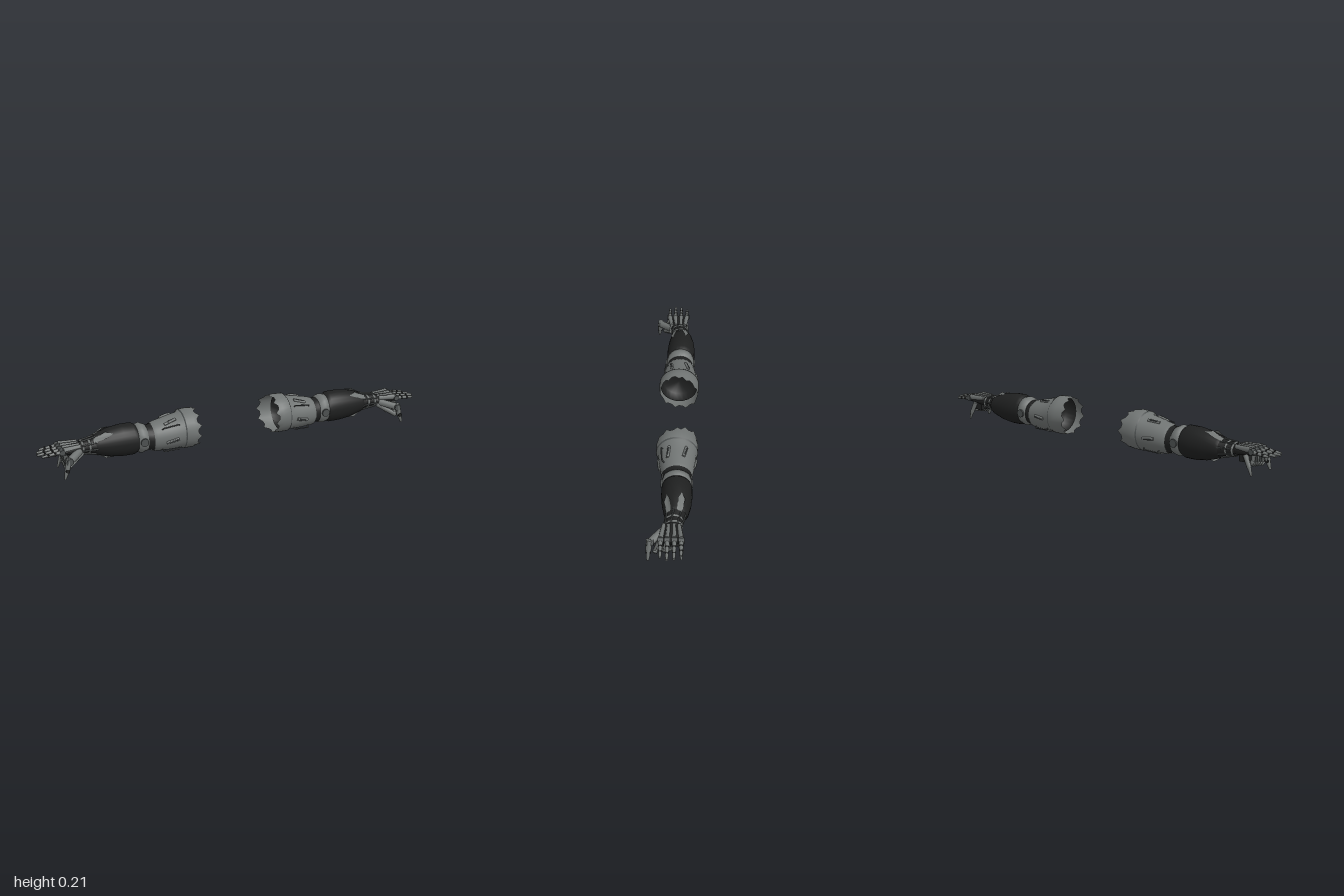
import * as THREE from 'three';

const grey = new THREE.MeshStandardMaterial({ color: 0x707473, side: THREE.DoubleSide });
grey.name = 'armour grey';
const mid = new THREE.MeshStandardMaterial({ color: 0x4c5050, side: THREE.DoubleSide });
mid.name = 'joint grey';
const dark = new THREE.MeshStandardMaterial({ color: 0x1f2020, side: THREE.DoubleSide });
dark.name = 'sleeve black';

// Skin over elliptical sections [x, cy, cz, ry, rz]; angle 0 is up, 90 degrees is front.
function loft(sections, n = 24, from = 0, to = 360, shiftX = () => 0) {
  const pos = [], idx = [], closed = to - from === 360;
  const cols = closed ? n : n + 1;
  sections.forEach(([x, cy, cz, ry, rz], i) => {
    for (let j = 0; j < cols; j++) {
      const a = THREE.MathUtils.degToRad(from + (to - from) * j / n);
      pos.push(x + shiftX(i, a, j), cy + ry * Math.cos(a), cz + rz * Math.sin(a));
    }
  });
  for (let i = 0; i < sections.length - 1; i++) {
    for (let j = 0; j < n; j++) {
      const k = (j + 1) % cols;
      const a = i * cols + j, c = i * cols + k, b = a + cols, d = c + cols;
      idx.push(a, c, b, c, d, b);
    }
  }
  const g = new THREE.BufferGeometry();
  g.setAttribute('position', new THREE.Float32BufferAttribute(pos, 3));
  g.setIndex(idx);
  g.computeVertexNormals();
  return g;
}

// Tapered bar between two points; flat squeezes it into a plate.
function bar(p, q, r0, r1, sides = 8, flat = 1) {
  const a = new THREE.Vector3(...p), b = new THREE.Vector3(...q);
  const dir = b.clone().sub(a);
  const g = new THREE.CylinderGeometry(r1, r0, dir.length(), sides);
  g.scale(1, 1, flat);
  g.applyQuaternion(new THREE.Quaternion().setFromUnitVectors(new THREE.Vector3(0, 1, 0), dir.normalize()));
  const m = a.add(b).multiplyScalar(0.5);
  return g.translate(m.x, m.y, m.z);
}

const armSections = [
  [0.215, 0.112, -0.013, 0.092, 0.094], [0.235, 0.112, -0.013, 0.097, 0.1],
  [0.275, 0.111, -0.013, 0.096, 0.099], [0.285, 0.107, -0.014, 0.087, 0.092],
  [0.35, 0.1, -0.015, 0.081, 0.085], [0.415, 0.094, -0.015, 0.073, 0.075],
  [0.43, 0.093, -0.015, 0.068, 0.07],
];
const foreSections = [
  [0.505, 0.099, -0.016, 0.066, 0.066], [0.525, 0.1, -0.017, 0.079, 0.071],
  [0.58, 0.1, -0.018, 0.079, 0.072], [0.64, 0.1, -0.018, 0.071, 0.067],
  [0.7, 0.1, -0.017, 0.053, 0.056], [0.715, 0.1, -0.016, 0.045, 0.05],
];

function buildArm() {
  const arm = new THREE.Group();
  const add = (name, geometry, material) => {
    const m = new THREE.Mesh(geometry, material);
    m.name = name;
    arm.add(m);
  };

  // Upper arm shell, with its torn rim reaching inward at the back
  const torn = (i, a, j) => i === 0
    ? -0.028 * Math.max(0, -Math.sin(a)) - (j % 3 === 0 ? 0.018 : 0) : 0;
  add('upperArmShell', loft(armSections, 32, 0, 360, torn), grey);
  add('upperArmLiner', loft([[0.25, 0.112, -0.013, 0.09, 0.093], [0.31, 0.105, -0.014, 0.08, 0.083],
    [0.312, 0.105, -0.014, 0.001, 0.001]], 24), dark);
  add('rimSeam', loft([[0.276, 0.111, -0.013, 0.0965, 0.0995], [0.281, 0.109, -0.013, 0.093, 0.097]], 32), mid);

  // Point on the upper arm surface at x, angle and lift
  const surface = (x, deg, lift) => {
    const t = (x - 0.285) / 0.13, a = THREE.MathUtils.degToRad(deg);
    const ry = 0.087 - 0.014 * t + lift, rz = 0.092 - 0.017 * t + lift;
    return [x, 0.107 - 0.013 * t + ry * Math.cos(a), -0.014 - 0.001 * t + rz * Math.sin(a)];
  };
  // Raised ribs and carrying rails
  for (const deg of [-95, -30, 25, 95, 180]) {
    add('shellRib', bar(surface(0.315, deg, 0), surface(0.375, deg + 8, 0), 0.008, 0.008, 10), grey);
    add('shellRibGroove', bar(surface(0.325, deg, 0.006), surface(0.365, deg + 6, 0.006), 0.004, 0.004, 8), mid);
  }
  for (const deg of [-135, 50, 135]) {
    const path = [[0.305, -0.002], [0.31, 0.011], [0.385, 0.014], [0.39, -0.002]]
      .map(([x, lift]) => surface(x, deg, lift));
    for (let i = 0; i < 3; i++) add('carryingRail', bar(path[i], path[i + 1], 0.003, 0.003, 6), mid);
  }

  // Elbow joint and cuff
  add('elbowSleeve', loft([[0.42, 0.093, -0.015, 0.068, 0.068], [0.44, 0.094, -0.015, 0.061, 0.064],
    [0.47, 0.096, -0.015, 0.062, 0.064]]), dark);
  add('elbowCuff', loft([[0.455, 0.096, -0.016, 0.05, 0.055], [0.46, 0.096, -0.016, 0.066, 0.068],
    [0.485, 0.098, -0.016, 0.075, 0.071], [0.508, 0.099, -0.016, 0.069, 0.067],
    [0.515, 0.099, -0.016, 0.05, 0.05]]), grey);
  for (const s of [-1, 1]) {
    add('elbowPivot', bar([0.483, 0.097, -0.016], [0.483, 0.097, -0.016 + s * 0.075], 0.02, 0.02, 16), mid);
  }

  // Forearm sleeve and tapering wrist plates
  add('forearmSleeve', loft(foreSections, 24), dark);
  for (const deg of [-20, 40, 165]) {
    const taper = loft([[0.63, 0.1, -0.018, 0.0745, 0.07], [0.7, 0.1, -0.017, 0.055, 0.058],
      [0.725, 0.1, -0.015, 0.046, 0.05]], 4, deg - 14, deg + 14,
    (i, a, j) => i === 0 ? 0.018 * Math.abs(j - 2) : 0);
    add('wristPlate', taper, grey);
  }
  add('wristCore', loft([[0.7, 0.1, -0.016, 0.046, 0.05], [0.745, 0.102, -0.011, 0.033, 0.038],
    [0.79, 0.103, -0.005, 0.03, 0.038]]), dark);
  for (let k = 0; k < 8; k++) {
    const a = k * Math.PI / 4 + 0.2, c = Math.cos(a), s = Math.sin(a);
    add('wristRod', bar([0.705, 0.1 + 0.045 * c, -0.016 + 0.049 * s],
      [0.785, 0.103 + 0.032 * c, -0.004 + 0.04 * s], 0.004, 0.004, 6), mid);
  }
  for (const [x, ry, rz] of [[0.745, 0.037, 0.042], [0.78, 0.035, 0.042]]) {
    add('wristRing', loft([[x - 0.006, 0.102, -0.008, ry - 0.004, rz - 0.004], [x - 0.003, 0.102, -0.008, ry, rz],
      [x + 0.003, 0.102, -0.008, ry, rz], [x + 0.006, 0.102, -0.008, ry - 0.004, rz - 0.004]]), grey);
  }

  // Palm and the plates on the back of the hand
  add('palm', loft([[0.785, 0.104, -0.002, 0.026, 0.038], [0.82, 0.104, 0.002, 0.025, 0.046],
    [0.885, 0.108, 0.001, 0.018, 0.05], [0.892, 0.108, 0.001, 0.001, 0.001]], 16), dark);
  const fingers = [[-0.044, 0.975], [-0.013, 0.995], [0.018, 1], [0.048, 0.985]];
  for (const [z, tip] of fingers) {
    add('handPlate', bar([0.795, 0.122, z * 0.75], [0.882, 0.121, z], 0.012, 0.015, 6, 0.8), grey);
    // Knuckle, three finger bones and their joints
    add('knuckle', bar([0.888, 0.115, z - 0.013], [0.888, 0.115, z + 0.013], 0.014, 0.014, 10), mid);
    const step = (tip - 0.89) / 3;
    for (let k = 0; k < 3; k++) {
      const x = 0.89 + step * k, r = 0.011 - 0.0015 * k, y = 0.114 - 0.003 * k;
      add('fingerBone', bar([x + 0.004, y, z], [x + step - (k < 2 ? 0.003 : 0), y - 0.003, z], r, r - 0.002, 8), grey);
      add('fingerJoint', bar([x, y, z - r * 0.9], [x, y, z + r * 0.9], 0.007, 0.007, 8), dark);
    }
  }

  // Fanned plates under the palm
  for (let k = 0; k < 5; k++) {
    const z = 0.075 - 0.021 * k;
    add('palmFanPlate', bar([0.785, 0.09, z * 0.5], [0.88, 0.032 + 0.004 * k, z], 0.012, 0.013, 6, 0.8), grey);
    add('palmFanStrut', bar([0.872, 0.04, z], [0.875, 0.1, z * 0.75], 0.009, 0.011, 6, 0.7), k % 2 ? mid : grey);
  }
  add('palmPad', new THREE.BoxGeometry(0.05, 0.045, 0.08).translate(0.84, 0.08, 0.005), dark);

  // Outer guard on the little finger side
  add('outerGuard', bar([0.85, 0.095, -0.04], [0.875, 0.04, -0.044], 0.012, 0.011, 8), grey);
  add('outerGuardTip', bar([0.875, 0.043, -0.044], [0.888, 0.002, -0.044], 0.01, 0.005, 8), grey);

  // Thumb
  add('thumbBase', bar([0.8, 0.1, 0.035], [0.865, 0.085, 0.092], 0.018, 0.019, 8), grey);
  add('thumbJoint', bar([0.868, 0.084, 0.078], [0.868, 0.084, 0.112], 0.017, 0.017, 12), mid);
  add('thumbBone', bar([0.868, 0.1, 0.097], [0.882, 0.044, 0.102], 0.015, 0.013, 8), grey);
  add('thumbKnuckle', bar([0.882, 0.043, 0.09], [0.882, 0.043, 0.115], 0.01, 0.01, 10), dark);
  add('thumbTip', bar([0.882, 0.042, 0.102], [0.895, 0.002, 0.105], 0.012, 0.006, 8), grey);
  return arm;
}

// Mirror every part across x and restore the face order
function mirrorArm(arm) {
  const out = new THREE.Group();
  for (const m of arm.children) {
    const g = m.geometry.clone().scale(-1, 1, 1);
    const ix = g.index.array;
    for (let i = 0; i < ix.length; i += 3) [ix[i], ix[i + 1]] = [ix[i + 1], ix[i]];
    g.computeVertexNormals();
    const c = new THREE.Mesh(g, m.material);
    c.name = m.name;
    out.add(c);
  }
  return out;
}

export function createModel() {
  const model = new THREE.Group();
  model.name = 'mechanicalArms';
  const left = buildArm();
  left.name = 'leftArm';
  const right = mirrorArm(left);
  right.name = 'rightArm';
  model.add(left, right);
  return model;
}
